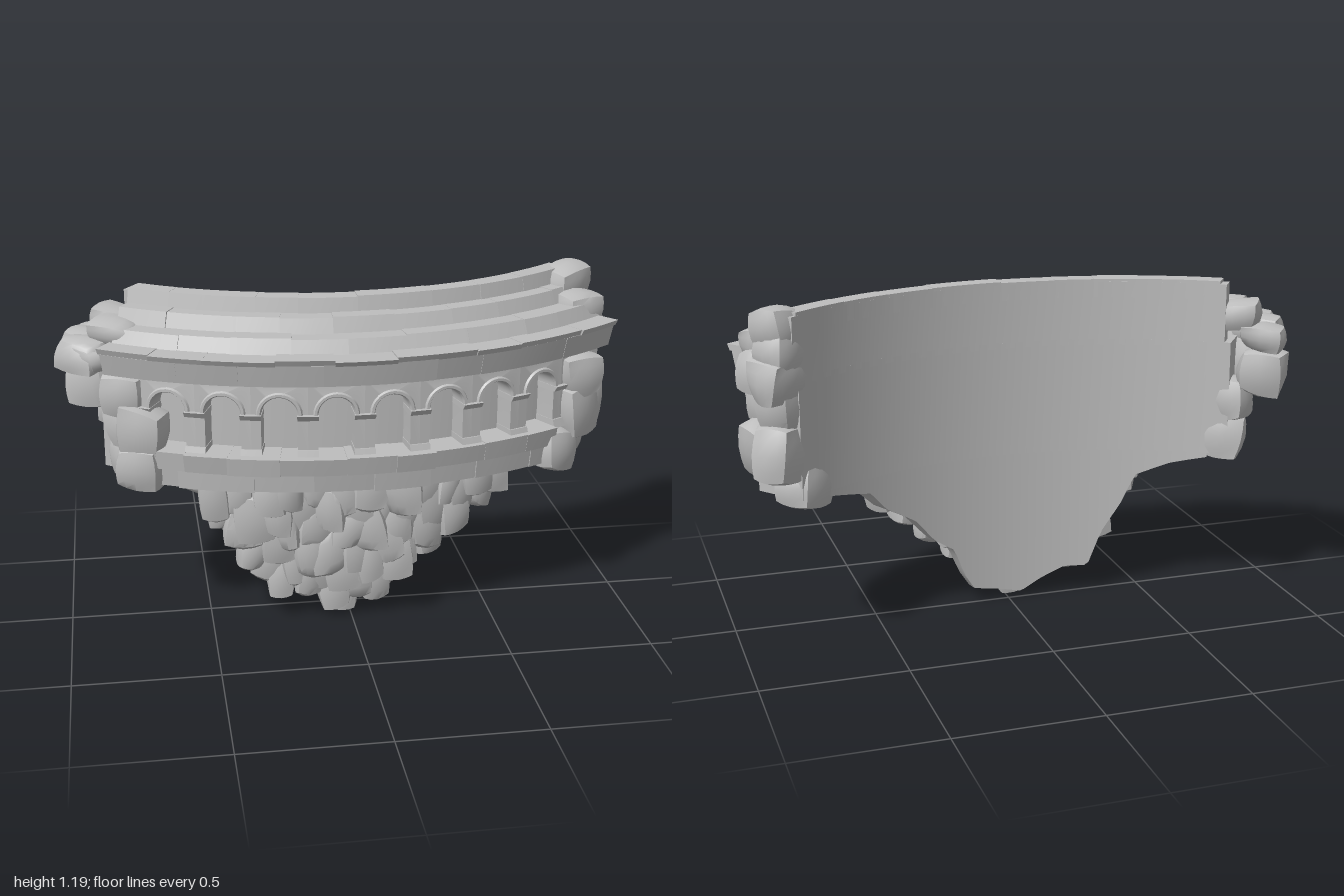
import * as THREE from 'three';
import { mergeVertices, mergeGeometries, toCreasedNormals } from 'three/addons/utils/BufferGeometryUtils.js';

const DEG = Math.PI / 180;
const CENTRE_Z = -1.26;   // axis of the curved wall
const R_BACK = 1.26;      // radius of the smooth back face

let seed = 7;
function rand() {
  seed = (seed * 16807) % 2147483647;
  return seed / 2147483647;
}
const jitter = (s) => (rand() - 0.5) * 2 * s;

// Wraps a geometry around the axis: x is an angle in radians, z a radius.
function bend(geo) {
  const p = geo.attributes.position;
  for (let i = 0; i < p.count; i++) {
    const a = p.getX(i), r = p.getZ(i);
    p.setXYZ(i, r * Math.sin(a), p.getY(i), r * Math.cos(a) + CENTRE_Z);
  }
  geo.computeVertexNormals();
  return geo;
}

function crease(geo, angle) {
  geo.deleteAttribute('normal');
  geo.deleteAttribute('uv');
  return toCreasedNormals(mergeVertices(geo, 1e-4), angle);
}

// Curved block; the front may lean from radius rLow to rHigh.
function arcBlock(a0, a1, y0, y1, rIn, rLow, rHigh = rLow) {
  const seg = Math.max(2, Math.ceil((a1 - a0) / 3));
  const geo = new THREE.BoxGeometry(1, 1, 1, seg, 1, 1);
  const p = geo.attributes.position;
  for (let i = 0; i < p.count; i++) {
    const u = p.getX(i) + 0.5, v = p.getY(i) + 0.5;
    const front = rLow + (rHigh - rLow) * v;
    p.setXYZ(i, (a0 + (a1 - a0) * u) * DEG, y0 + (y1 - y0) * v, p.getZ(i) > 0 ? front : rIn);
  }
  return crease(bend(geo), 0.5);
}

// A row of worn stones following the curve.
function course(a0, a1, y0, y1, rIn, rLow, rHigh, n, wear) {
  const cuts = [a0];
  for (let i = 1; i < n; i++) cuts.push(a0 + (a1 - a0) * (i + jitter(0.25)) / n);
  cuts.push(a1);
  const parts = [];
  for (let i = 0; i < n; i++) {
    const d = jitter(wear);
    parts.push(arcBlock(cuts[i], cuts[i + 1], y0, y1 + jitter(wear * 0.5), rIn, rLow + d, rHigh + d + jitter(wear * 0.5)));
  }
  return mergeGeometries(parts);
}

// Rounded stone with skewed corners, turned to face outwards.
function boulder(deg, r, y, w, h, d) {
  const geo = new THREE.BoxGeometry(2, 2, 2, 4, 4, 4);
  const p = geo.attributes.position, v = new THREE.Vector3(), n = new THREE.Vector3();
  const skew = Array.from({ length: 8 }, () => new THREE.Vector3(jitter(0.25), jitter(0.22), jitter(0.25)));
  for (let i = 0; i < p.count; i++) {
    v.fromBufferAttribute(p, i);
    n.copy(v).normalize().multiplyScalar(1.25);
    const s = v.clone().lerp(n, 0.6);
    skew.forEach((c, k) => {
      const t = (k & 1 ? 1 + v.x : 1 - v.x) * (k & 2 ? 1 + v.y : 1 - v.y) * (k & 4 ? 1 + v.z : 1 - v.z) / 8;
      s.addScaledVector(c, t);
    });
    p.setXYZ(i, s.x * w / 2, s.y * h / 2, s.z * d / 2);
  }
  const a = deg * DEG;
  geo.rotateZ(jitter(0.15)).rotateY(a + jitter(0.2));
  geo.translate(r * Math.sin(a), y, r * Math.cos(a) + CENTRE_Z);
  return crease(geo, 0.7);
}

// Lower outline of the hanging rock, as x and y.
const ROCK_EDGE = [[-0.72, 0.52], [-0.6, 0.49], [-0.48, 0.44], [-0.43, 0.33], [-0.36, 0.22], [-0.31, 0.09], [-0.22, 0.09],
  [-0.13, 0.05], [-0.05, 0.005], [0.02, 0.02], [0.14, 0.04], [0.18, 0.1], [0.22, 0.2], [0.3, 0.25],
  [0.38, 0.34], [0.5, 0.41], [0.56, 0.48], [0.7, 0.51], [0.8, 0.53]];
function rockBottom(x) {
  let i = 0;
  while (i < ROCK_EDGE.length - 2 && x > ROCK_EDGE[i + 1][0]) i++;
  const [x0, y0] = ROCK_EDGE[i], [x1, y1] = ROCK_EDGE[i + 1];
  return y0 + (y1 - y0) * (x - x0) / (x1 - x0);
}
const rockDepth = (x, y) => 0.095 + 0.11 * Math.min(1, y / 0.5) - 0.05 * Math.abs(x);

// Rock body: cross-sections swept along the curve, smooth at the back.
function rockBody() {
  const cols = 90, rows = 12, pos = [], idx = [], top = 0.56, ring = rows + 3;
  for (let i = 0; i <= cols; i++) {
    const x = -0.72 + 1.52 * i / cols, a = Math.asin(x / 1.33), yb = rockBottom(x);
    const put = (r, y) => pos.push(r * Math.sin(a), y, r * Math.cos(a) + CENTRE_Z);
    for (let j = 0; j <= rows; j++) {
      const v = j / rows, y = top + (yb - top) * v;
      const round = Math.sqrt(Math.max(0, 1 - Math.pow(v, 6))) * 0.5 + 0.5;
      put(R_BACK + rockDepth(x, y) * round, y);
    }
    put(R_BACK, yb + 0.005);
    put(R_BACK, top);
  }
  for (let i = 0; i < cols; i++) for (let j = 0; j < ring; j++) {
    const k = (j + 1) % ring, a = i * ring + j, b = i * ring + k, c = a + ring, d = b + ring;
    idx.push(a, b, c, b, d, c);
  }
  const geo = new THREE.BufferGeometry();
  geo.setAttribute('position', new THREE.Float32BufferAttribute(pos, 3));
  geo.setIndex(idx);
  return toCreasedNormals(geo, 0.6);
}

// Upright chunks covering the front of the rock.
function rockChunks() {
  const parts = [];
  for (let row = 0; row < 7; row++) {
    for (let x = -0.66 + (row % 2) * 0.045; x < 0.72; x += 0.09) {
      const px = x + jitter(0.02), py = 0.5 - row * 0.075 + jitter(0.025);
      if (py < rockBottom(px) + 0.035) continue;
      const h = Math.min(0.17, 2 * (py - rockBottom(px)) + 0.03);
      const r = R_BACK + rockDepth(px, py) - 0.025 + jitter(0.016);
      parts.push(boulder(Math.asin(px / 1.38) / DEG, r, py, 0.11 + jitter(0.02), h, 0.1));
    }
  }
  return mergeGeometries(parts);
}

// One arched bay: a plate with an arched opening, its moulding and half capitals.
function bay(deg) {
  const R = 1.53, w = 3.6 * DEG * R, o = 0.062, spring = 0.815;
  const s = new THREE.Shape();
  s.moveTo(-w, 0.66).lineTo(-o, 0.66).lineTo(-o, spring);
  s.absarc(0, spring, o, Math.PI, 0, true);
  s.lineTo(o, 0.66).lineTo(w, 0.66).lineTo(w, 0.93).lineTo(-w, 0.93);
  const plate = new THREE.ExtrudeGeometry(s, { depth: 0.1, bevelEnabled: false, curveSegments: 10 });
  plate.translate(0, 0, R - 0.1);
  const moulding = new THREE.TorusGeometry(o + 0.008, 0.009, 6, 14, Math.PI);
  moulding.translate(0, spring, R);
  const parts = [plate, moulding].map((g) => {
    g.scale(1 / R, 1, 1).translate(deg * DEG, 0, 0);
    return crease(bend(g), 0.6);
  });
  for (const side of [-1, 1]) {
    const c = deg + side * 2.95;
    parts.push(arcBlock(c - 0.7, c + 0.7, 0.795, 0.815, 1.43, 1.535, 1.548));
    parts.push(arcBlock(c - 0.7, c + 0.7, 0.66, 0.69, 1.43, 1.545, 1.535));
  }
  return mergeGeometries(parts);
}

// Broken end: rows of [height, thickness, edge angle at each depth].
function rubble(rows, side) {
  const radii = [1.325, 1.43, 1.51], parts = [];
  for (const [y, h, ...edges] of rows) edges.forEach((e, k) => {
    parts.push(boulder(side * (e - 3.2), radii[k] + jitter(0.01), y + jitter(0.01), 0.16, h + 0.02, 0.13));
  });
  return mergeGeometries(parts);
}

export function createModel() {
  seed = 7;
  const model = new THREE.Group();
  const stone = new THREE.MeshStandardMaterial({ color: 0xbebebe });
  stone.name = 'grey stone';
  const add = (name, geo) => {
    const mesh = new THREE.Mesh(geo, stone);
    mesh.name = name;
    model.add(mesh);
  };

  // Wall body with the smooth concave back
  add('wallCore', arcBlock(-36, 39, 0.54, 0.95, R_BACK, 1.45));
  add('upperCore', arcBlock(-35, 40, 0.93, 1.155, R_BACK, 1.32));

  // Stepped top
  add('topStep', course(-34, 39, 1.1, 1.165, R_BACK, 1.34, 1.325, 8, 0.004));
  add('middleStep', course(-33.7, 39, 1.05, 1.115, 1.3, 1.42, 1.395, 9, 0.005));
  add('lowerStep', course(-32.5, 38, 1, 1.065, 1.38, 1.51, 1.48, 9, 0.005));

  // Cornice
  add('corniceLip', course(-33, 38, 0.998, 1.018, 1.3, 1.575, 1.585, 9, 0.005));
  add('cornice', course(-32.7, 37.8, 0.922, 1, 1.3, 1.555, 1.572, 7, 0.004));

  // Arcade and its broken end pier
  for (let k = -3; k <= 5; k++) add('archBay', bay(-2.8 + 7.2 * k));
  add('endPier', arcBlock(-32, -28, 0.66, 0.93, 1.4, 1.52));

  // Bands under the arcade
  add('sillBand', course(-28, 28, 0.605, 0.67, 1.4, 1.56, 1.572, 9, 0.008));
  add('baseBand', course(-29, 30, 0.535, 0.61, 1.3, 1.535, 1.545, 8, 0.008));

  add('hangingRock', rockBody());
  add('rockChunks', rockChunks());

  // Broken ends
  add('leftRubble', rubble([
    [0.57, 0.13, 39, 36.5, 33], [0.7, 0.17, 43, 41, 36.5], [0.84, 0.14, 41.5, 39.5, 36.5],
    [0.95, 0.13, 43, 41.5], [1.03, 0.11, 42.5, 40], [1.115, 0.12, 42],
  ], 1));
  add('rightRubble', rubble([
    [0.6, 0.14, 38, 35, 32], [0.72, 0.14, 38.5, 34.5, 31.5], [0.845, 0.14, 43.5, 40.5, 34],
    [0.96, 0.08, 43.5, 42, 40.2], [1.03, 0.07, 39.5, 36.5],
  ], -1));
  add('brokenCorniceStone', boulder(-36.5, 1.5, 0.965, 0.17, 0.08, 0.12));
  return model;
}
